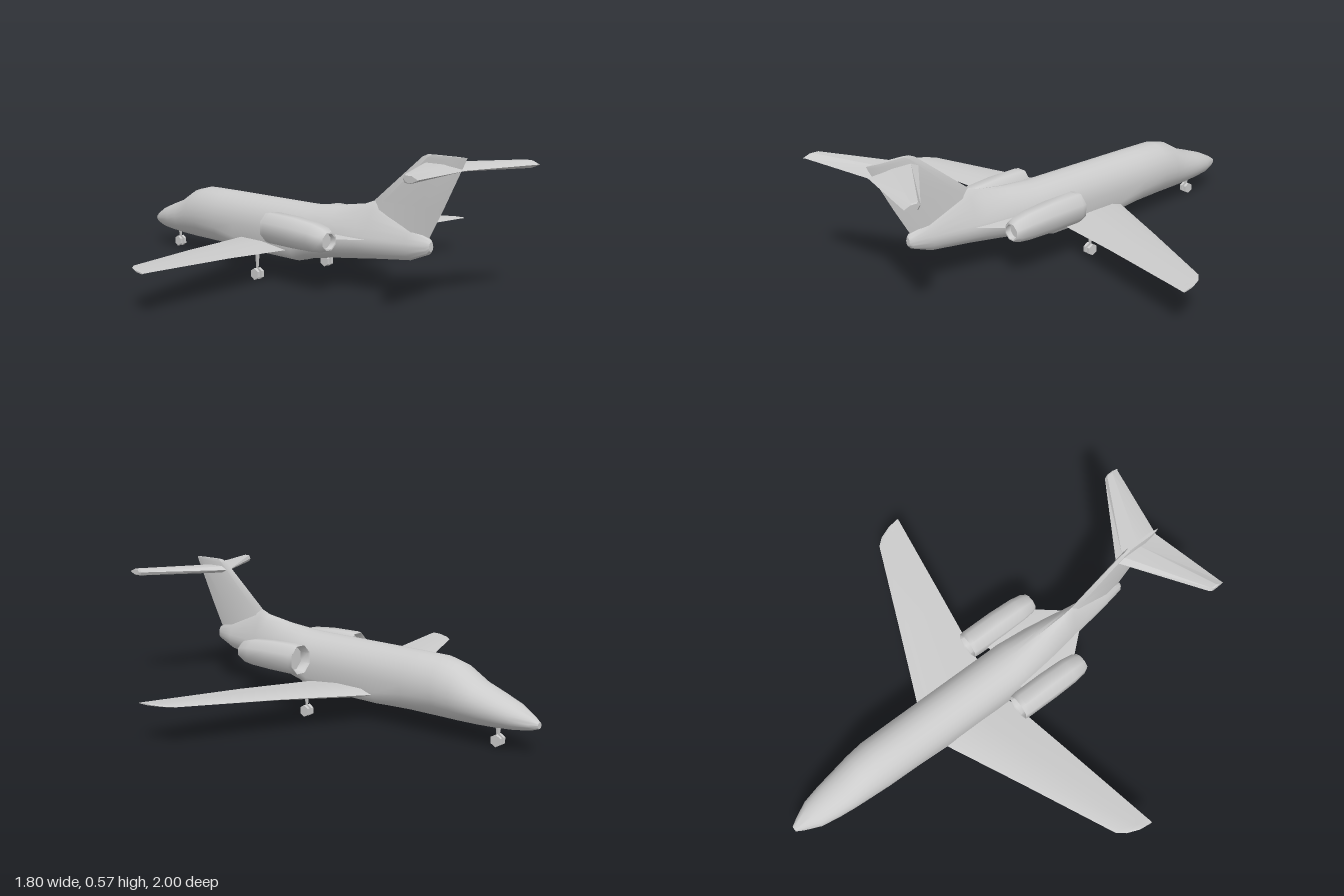
import * as THREE from 'three';
import { toCreasedNormals } from 'three/addons/utils/BufferGeometryUtils.js';

const material = new THREE.MeshStandardMaterial({ color: 0xcccccc });

// Skin a list of equal-length rings (counter-clockwise about the direction of travel), capped at both ends
function loft(rings, crease) {
  const n = rings[0].length, pos = [], index = [];
  rings.forEach(r => r.forEach(p => pos.push(...p)));
  for (let i = 0; i < rings.length - 1; i++) {
    for (let j = 0; j < n; j++) {
      const k = (j + 1) % n, a = i * n + j, b = i * n + k, c = b + n, d = a + n;
      index.push(a, b, d, b, c, d);
    }
  }
  [0, rings.length - 1].forEach((i, end) => {
    const centre = pos.length / 3;
    pos.push(...[0, 1, 2].map(k => rings[i].reduce((s, p) => s + p[k], 0) / n));
    for (let j = 0; j < n; j++) {
      const a = i * n + j, b = i * n + (j + 1) % n;
      index.push(centre, ...(end ? [a, b] : [b, a]));
    }
  });
  const g = new THREE.BufferGeometry();
  g.setAttribute('position', new THREE.Float32BufferAttribute(pos, 3));
  g.setIndex(index);
  return toCreasedNormals(g, crease);
}

const mirrorRings = rings => rings.map(r => r.map(([x, y, z]) => [-x, y, z]).reverse());

// Flat aerofoil section at one span station
const foil = ([x, y, le, te, t]) => {
  const c = te - le, h = t / 2;
  return [[x, y + h, le + c * 0.55], [x, y, te], [x, y - h, le + c * 0.55],
    [x, y - h, le + c * 0.15], [x, y, le], [x, y + h, le + c * 0.15]];
};

export function createModel() {
  const model = new THREE.Group();
  const add = (name, geometry, parent = model) => {
    const m = new THREE.Mesh(geometry, material);
    m.name = name;
    parent.add(m);
    return m;
  };
  const addPair = (name, rings, crease) => {
    add('left' + name, loft(rings, crease));
    add('right' + name, loft(mirrorRings(rings), crease));
  };

  // Fuselage stations: z, half width, bottom, widest height, top, upper and lower roundness
  const stations = [
    [-1, 0.012, 0.105, 0.118, 0.13, 2, 2],
    [-0.97, 0.03, 0.094, 0.122, 0.15, 2, 2],
    [-0.9, 0.064, 0.083, 0.135, 0.185, 2, 2],
    [-0.82, 0.08, 0.076, 0.147, 0.214, 2, 2],
    [-0.74, 0.091, 0.072, 0.16, 0.242, 2, 2],
    [-0.65, 0.101, 0.07, 0.18, 0.295, 2, 2],
    [-0.57, 0.108, 0.07, 0.19, 0.314, 2, 2],
    [-0.42, 0.109, 0.072, 0.19, 0.315, 2, 2.4],
    [-0.28, 0.109, 0.074, 0.19, 0.315, 2, 4],
    [0.1, 0.109, 0.074, 0.19, 0.315, 2, 4],
    [0.16, 0.108, 0.092, 0.195, 0.316, 2, 3],
    [0.3, 0.093, 0.112, 0.205, 0.33, 1.7, 2.2],
    [0.43, 0.073, 0.128, 0.21, 0.35, 1.35, 2],
    [0.48, 0.062, 0.135, 0.21, 0.368, 1.2, 2],
    [0.67, 0.035, 0.158, 0.215, 0.29, 1.4, 2],
    [0.76, 0.021, 0.193, 0.22, 0.254, 2, 2],
    [0.77, 0.012, 0.205, 0.222, 0.242, 2, 2],
  ];
  const sides = 24;
  add('fuselage', loft(stations.map(([z, w, lo, mid, hi, nu, nl]) =>
    Array.from({ length: sides }, (_, j) => {
      const a = j / sides * Math.PI * 2, c = Math.cos(a), s = Math.sin(a);
      const e = 2 / (s >= 0 ? nu : nl);
      const x = Math.sign(c) * w * Math.abs(c) ** e;
      return [x, mid + (s >= 0 ? hi - mid : lo - mid) * Math.abs(s) ** e, z];
    })), 0.7));

  // Swept wings with raked rounded tips: x, y, leading z, trailing z, thickness
  addPair('Wing', [
    [0.03, 0.119, -0.305, 0.055, 0.036], [0.11, 0.122, -0.27, 0.07, 0.034],
    [0.45, 0.143, -0.12, 0.126, 0.02], [0.84, 0.159, 0.05, 0.19, 0.009],
    [0.87, 0.16, 0.085, 0.195, 0.008], [0.893, 0.161, 0.14, 0.199, 0.007],
    [0.9, 0.161, 0.19, 0.2, 0.005],
  ].map(foil), 0.4);

  // Tail fin: y, leading z, trailing z, half width
  add('tailFin', loft([
    [0.23, 0.4, 0.745, 0.016], [0.37, 0.48, 0.825, 0.011],
    [0.558, 0.718, 0.925, 0.009], [0.57, 0.745, 0.93, 0.007],
  ].map(([y, le, te, w]) => {
    const f = le + (te - le) * 0.15, m = le + (te - le) * 0.75;
    return [[0, y, te], [w, y, m], [w, y, f], [0, y, le], [-w, y, f], [-w, y, m]];
  }), 0.4));

  // High tailplane
  addPair('Tailplane', [
    [0, 0.524, 0.705, 0.925, 0.03], [0.335, 0.526, 0.925, 0.995, 0.03],
    [0.341, 0.526, 0.935, 1, 0.024],
  ].map(foil), 0.4);

  // Eight-sided engine pods with recessed intake and exhaust: z, centre y, half width, half height
  addPair('Engine', [
    [0.1, 0.228, 0.045, 0.05], [0.06, 0.228, 0.048, 0.054],
    [0.055, 0.228, 0.053, 0.059], [0.075, 0.228, 0.056, 0.062],
    [0.22, 0.226, 0.057, 0.061], [0.33, 0.222, 0.054, 0.055],
    [0.385, 0.218, 0.047, 0.046], [0.408, 0.215, 0.036, 0.035],
    [0.408, 0.215, 0.031, 0.03], [0.385, 0.215, 0.029, 0.028],
  ].map(([z, y, w, h]) => Array.from({ length: 8 }, (_, j) => {
    const a = (j + 0.5) * Math.PI / 4, k = 1 / Math.cos(Math.PI / 8);
    return [0.179 + Math.cos(a) * w * k, y + Math.sin(a) * h * k, z];
  })), 0.85);

  // Thin pylons joining the engines to the body
  addPair('Pylon', [
    [0.04, 0.218, 0.14, 0.51, 0.014], [0.07, 0.218, 0.13, 0.48, 0.014],
    [0.15, 0.218, 0.12, 0.385, 0.014],
  ].map(foil), 0.4);

  // Landing gear: tapered strut, axle and twin six-sided wheels
  const gear = (name, x, z, top) => {
    const g = new THREE.Group();
    g.name = name;
    g.position.set(x, 0, z);
    const length = top - 0.024;
    add('strut', new THREE.CylinderGeometry(0.016, 0.005, length, 8), g)
      .scale.x = 0.35;
    g.children[0].position.y = 0.024 + length / 2;
    const axle = add('axle', new THREE.CylinderGeometry(0.004, 0.004, 0.03, 6), g);
    axle.rotation.z = Math.PI / 2;
    axle.position.y = 0.024;
    for (const s of [-1, 1]) {
      const tyre = toCreasedNormals(new THREE.CylinderGeometry(0.025, 0.025, 0.012, 6), 0.5);
      tyre.rotateZ(Math.PI / 2);
      tyre.rotateX(Math.PI / 6);
      add('wheel', tyre, g).position.set(s * 0.011, 0.025, 0);
    }
    model.add(g);
  };
  gear('noseGear', 0, -0.82, 0.1);
  gear('leftMainGear', 0.2, 0, 0.125);
  gear('rightMainGear', -0.2, 0, 0.125);

  return model;
}
